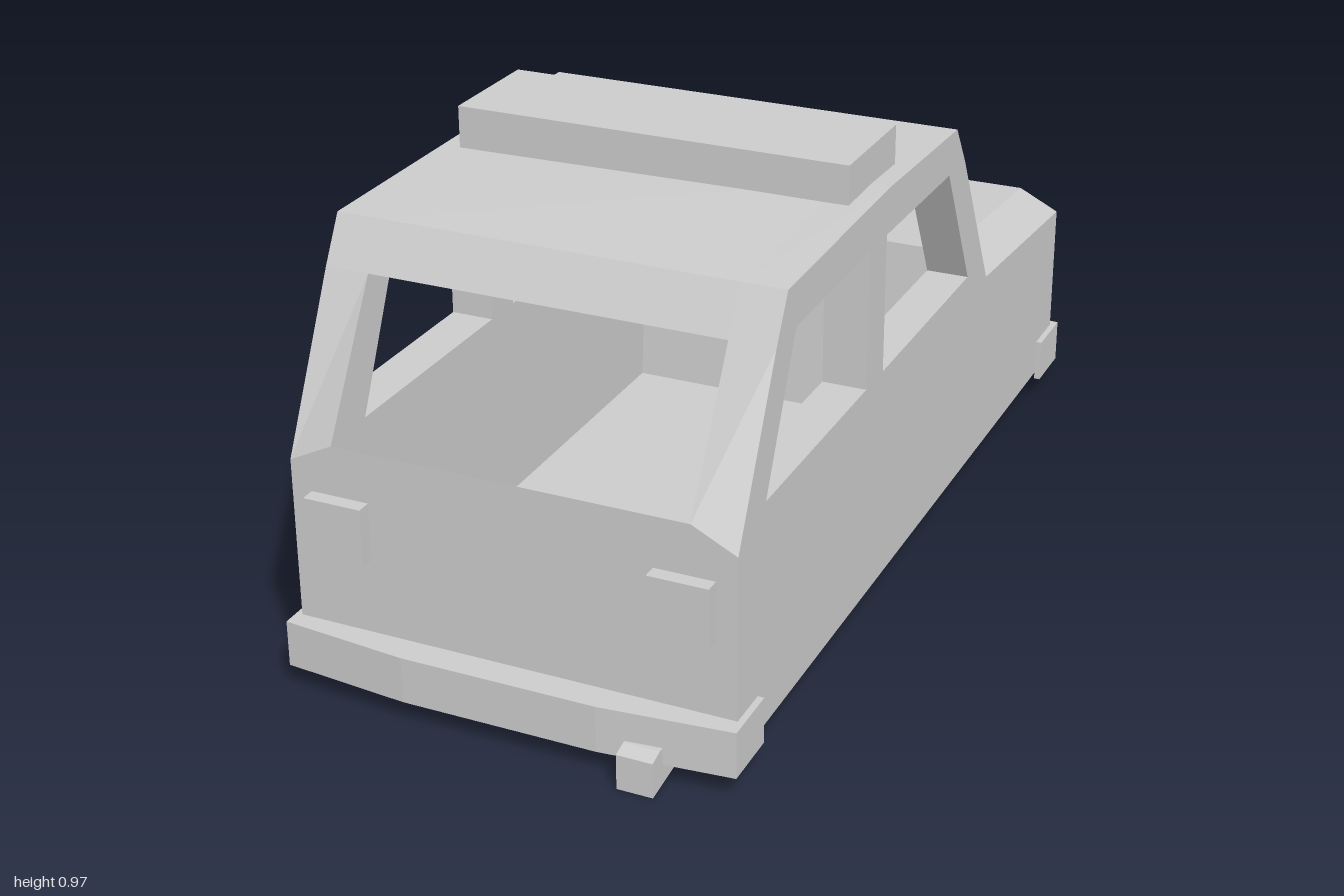
import * as THREE from 'three';

const mat = new THREE.MeshStandardMaterial({ color: 0xcccccc, flatShading: true });
const toV2 = (pts) => pts.map(([a, b]) => new THREE.Vector2(a, b));

// Extrudes a (z, y) profile across the car from x0 to x1
function profile(pts, x0, x1, holes = []) {
  const shape = new THREE.Shape(toV2(pts));
  holes.forEach((h) => shape.holes.push(new THREE.Path(toV2(h))));
  const geo = new THREE.ExtrudeGeometry(shape, { depth: x1 - x0, bevelEnabled: false });
  return geo.rotateY(-Math.PI / 2).translate(x1, 0, 0);
}

// Chamfers the shoulder line at the outer skin and tilts the roof ridge slightly
function shapeBody(geo) {
  const p = geo.attributes.position;
  for (let i = 0; i < p.count; i++) {
    const x = p.getX(i), y = p.getY(i);
    const shoulder = Math.abs(y - 0.515) < 1e-4 || Math.abs(y - 0.475) < 1e-4;
    if (shoulder && Math.abs(x) > 0.44) p.setY(i, y - 0.045);
    if (Math.abs(y - 0.892) < 1e-4) p.setY(i, y + x * 0.012);
  }
  geo.computeVertexNormals();
  return geo;
}

export function createModel() {
  const car = new THREE.Group();
  car.name = 'car';
  const add = (name, geo) => {
    const mesh = new THREE.Mesh(geo, mat);
    mesh.name = name;
    car.add(mesh);
    return mesh;
  };
  const box = (name, x0, x1, y0, y1, z0, z1) =>
    add(name, new THREE.BoxGeometry(x1 - x0, y1 - y0, z1 - z0))
      .position.set((x0 + x1) / 2, (y0 + y1) / 2, (z0 + z1) / 2);

  // Side walls with two windows each
  const outline = [
    [0.91, 0.06], [0.91, 0.515], [0.75, 0.795], [0.7, 0.885], [0.2, 0.892],
    [-0.19, 0.885], [-0.25, 0.795], [-0.43, 0.515], [-0.96, 0.475], [-0.96, 0.06],
  ];
  const windows = [
    [[0.79, 0.52], [0.3, 0.52], [0.3, 0.805], [0.66, 0.8]],
    [[0.21, 0.52], [-0.3, 0.52], [-0.15, 0.8], [0.21, 0.805]],
  ];
  add('leftSide', shapeBody(profile(outline, 0.36, 0.45, windows)));
  add('rightSide', shapeBody(profile(outline, -0.45, -0.36, windows)));

  // Tub with hood, cabin floor and tailgate
  add('tub', profile([
    [0.91, 0.06], [0.91, 0.515], [0.79, 0.1], [-0.395, 0.1],
    [-0.43, 0.515], [-0.96, 0.475], [-0.96, 0.06],
  ], -0.36, 0.36));

  // Roof slab between the side walls
  add('roof', shapeBody(profile([
    [0.75, 0.795], [0.7, 0.885], [0.2, 0.892], [-0.19, 0.885], [-0.25, 0.795],
    [-0.15, 0.8], [0.25, 0.805], [0.66, 0.8],
  ], -0.36, 0.36)));
  box('roofBox', -0.41, 0.41, 0.88, 0.973, 0.065, 0.312);

  // Bowed bumpers wrapping round the corners: inner end, body face, corner, tip
  const bumper = (name, end, face, corner, tip) => {
    const half = [[0.45, face], [0.45, end], [0.463, end], [0.463, corner], [0.2, tip]];
    const mirrored = half.map(([x, z]) => [-x, z]).reverse();
    const shape = new THREE.Shape(toV2([...half, ...mirrored]));
    const geo = new THREE.ExtrudeGeometry(shape, { depth: 0.095, bevelEnabled: false });
    add(name, geo.rotateX(Math.PI / 2).translate(0, 0.14, 0));
  };
  bumper('tailgateBumper', 0.82, 0.91, 0.945, 0.97);
  bumper('hoodBumper', -0.85, -0.96, -0.98, -1);

  // Lamps, mirrored left and right
  for (const s of [-1, 1]) {
    const side = s > 0 ? 'left' : 'right';
    const span = (a, b) => (s > 0 ? [a, b] : [-b, -a]);
    box(side + 'TailLamp', ...span(0.288, 0.408), 0.293, 0.413, 0.9, 0.94);
    box(side + 'HeadLamp', ...span(0.155, 0.38), 0.305, 0.4, -0.972, -0.95);
  }

  // Sloping exhaust pipe under the floor
  add('exhaustPipe', profile(
    [[1, 0], [1, 0.072], [0.97, 0.08], [0.5, 0.085], [0.53, 0.06]], 0.254, 0.326));

  return car;
}
